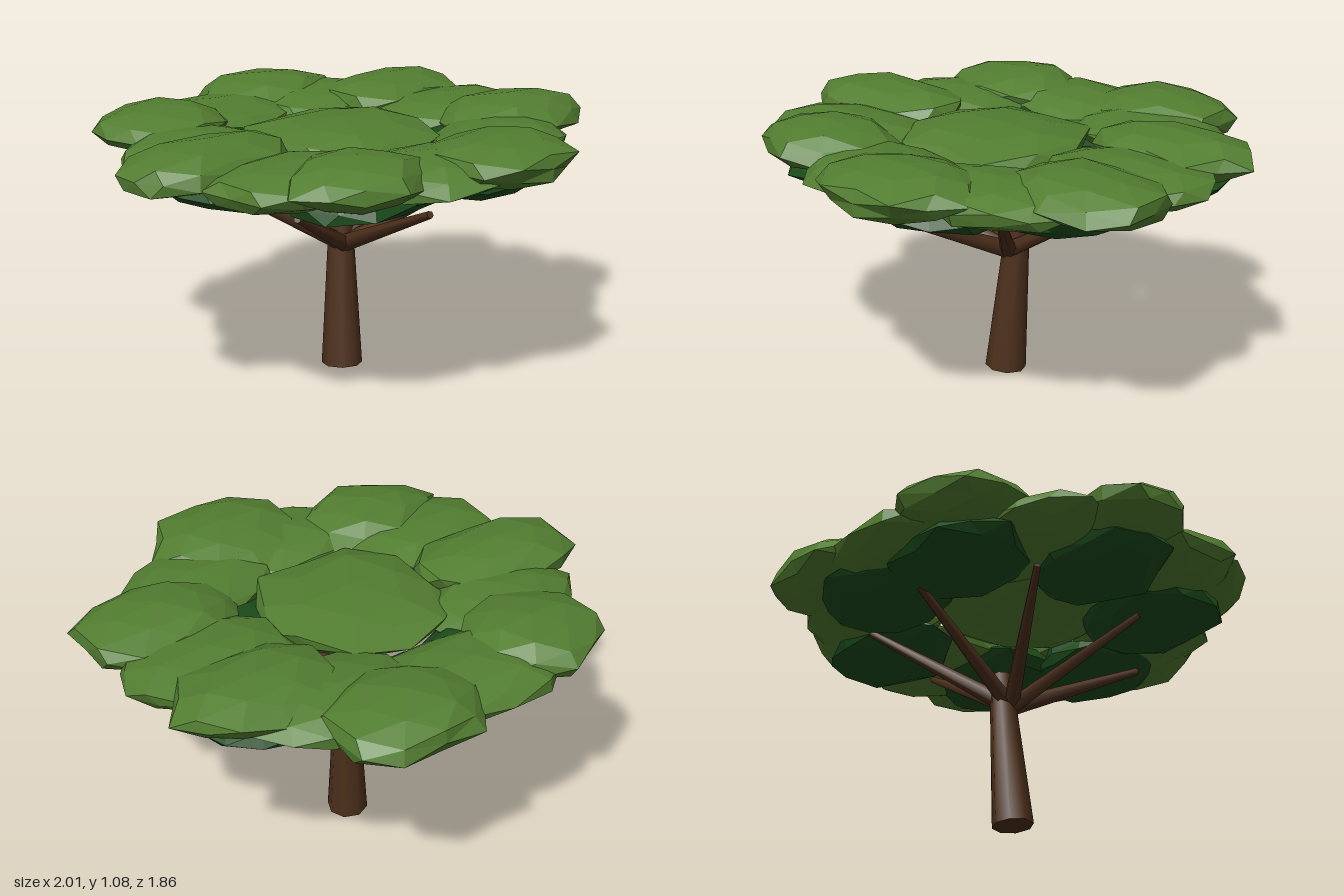
import * as THREE from 'three';

const leafGreen = new THREE.MeshStandardMaterial({ name: 'leafGreen', color: 0x537e31, flatShading: true });
const shadeGreen = new THREE.MeshStandardMaterial({ name: 'shadeGreen', color: 0x1c4c1c, flatShading: true });
const bark = new THREE.MeshStandardMaterial({ name: 'bark', color: 0x4d301c });

// Tapered limb between two points
function limb(name, from, to, r0, r1, sides) {
  const a = new THREE.Vector3(...from), b = new THREE.Vector3(...to);
  const dir = b.clone().sub(a);
  const mesh = new THREE.Mesh(new THREE.CylinderGeometry(r1, r0, dir.length(), sides), bark);
  mesh.name = name;
  mesh.position.copy(a).add(b).multiplyScalar(0.5);
  mesh.quaternion.setFromUnitVectors(new THREE.Vector3(0, 1, 0), dir.normalize());
  return mesh;
}

// Flattened, irregular faceted leaf clump with the given centre and half sizes
function clump(name, material, [x, y, z], [rx, ry, rz], seed) {
  const geometry = new THREE.IcosahedronGeometry(1, 1);
  const p = geometry.attributes.position;
  const v = new THREE.Vector3();
  for (let i = 0; i < p.count; i++) {
    v.fromBufferAttribute(p, i);
    // Depends only on position, so shared corners stay joined
    const k = Math.sin(13.3 * v.x + 17.1 * v.y + 11.2 * v.z + seed * 2.4);
    p.setXYZ(i, v.x * (1 + 0.1 * k), v.y * (1 + 0.03 * k), v.z * (1 + 0.1 * k));
  }
  geometry.center();
  const { max } = geometry.boundingBox;
  geometry.scale(rx / max.x, ry / max.y, rz / max.z);
  geometry.computeVertexNormals();
  const mesh = new THREE.Mesh(geometry, material);
  mesh.name = name;
  mesh.position.set(x, y, z);
  return mesh;
}

export function createModel() {
  const tree = new THREE.Group();
  tree.name = 'flatToppedTree';

  // Leaning trunk
  tree.add(limb('trunk', [0.033, 0.003, -0.022], [0.066, 0.65, -0.06], 0.083, 0.046, 8));

  // Point on a circle around the crown's axis, in sevenths of a turn
  const at = (turn, r, y) => {
    const a = (turn / 7) * Math.PI * 2;
    return [0.045 + Math.cos(a) * r, y, -0.025 + Math.sin(a) * r];
  };

  // Seven branches with pale clumps above them and dark clumps in between
  const tipHeights = [0.86, 0.85, 0.785, 0.79, 0.85, 0.87, 0.86];
  tipHeights.forEach((tipY, i) => {
    tree.add(limb('branch', at(i, 0, 0.515), at(i, 0.575, tipY), 0.036, 0.015, 6));
    tree.add(clump('middleClump', leafGreen, at(i, 0.615, 0.955), [0.345, 0.085, 0.26], i + 10));
    tree.add(clump('lowerClump', shadeGreen, at(i + 0.52, 0.57, 0.9), [0.31, 0.088, 0.25], i));
  });

  // Upper ring of overlapping clumps: centre x, centre z, half width, half depth
  const ring = [
    [0.67, 0.31, 0.33, 0.245], [0.175, 0.65, 0.32, 0.27], [-0.45, 0.5, 0.33, 0.24], [-0.65, -0.075, 0.35, 0.22],
    [-0.39, -0.6, 0.305, 0.265], [0.245, -0.675, 0.325, 0.26], [0.66, -0.33, 0.34, 0.235],
  ];
  ring.forEach(([x, z, rx, rz], i) => {
    tree.add(clump('upperClump', leafGreen, [x, 0.985, z], [rx, 0.095, rz], i + 20));
  });

  // Round clump at the crown's centre
  tree.add(clump('centreClump', leafGreen, [0.015, 0.965, -0.015], [0.36, 0.09, 0.37], 31));
  return tree;
}
